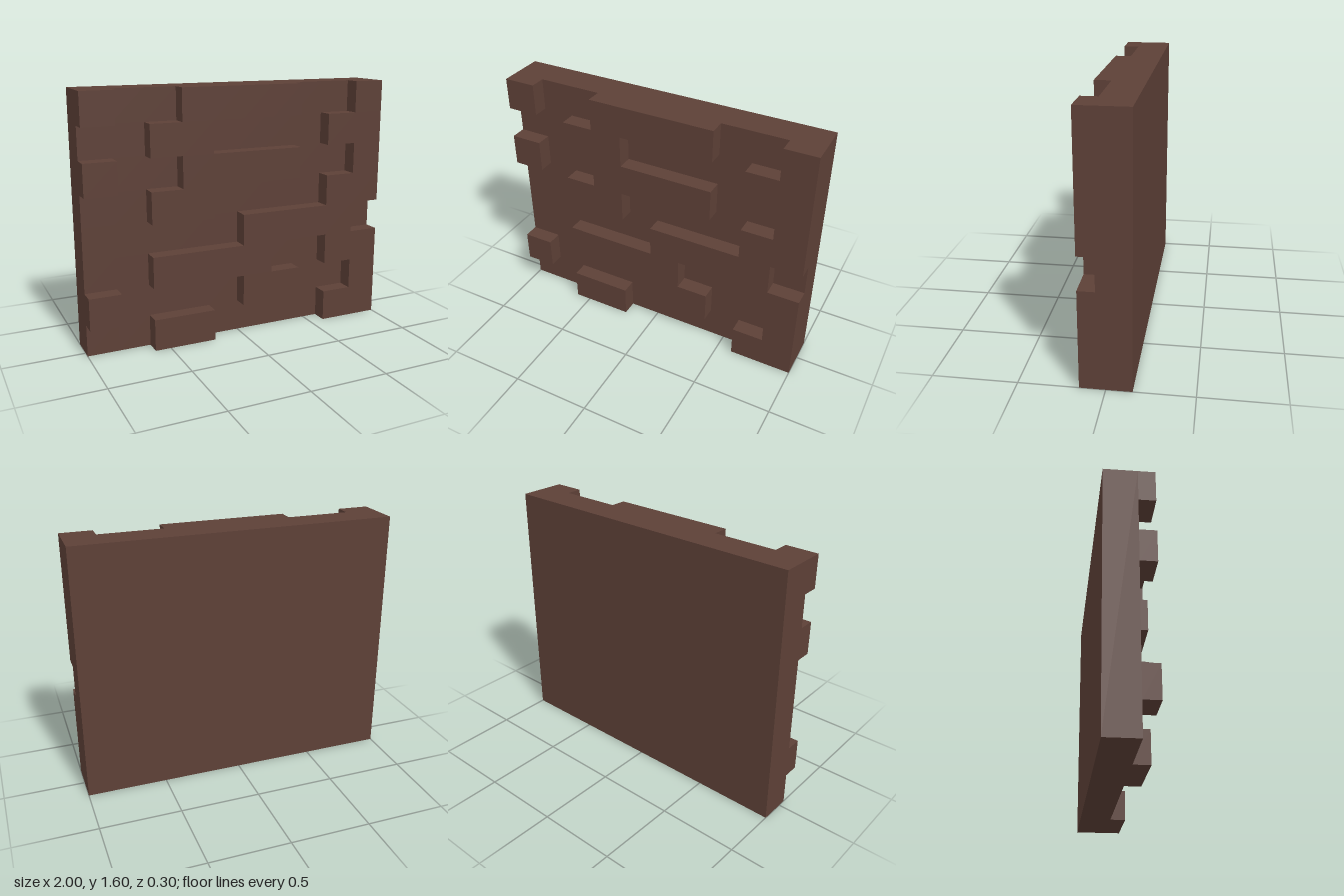
import * as THREE from 'three';
import { mergeGeometries } from 'three/addons/utils/BufferGeometryUtils.js';

const CELL = 0.2, COLS = 10, ROWS = 8;
const BACK = -0.15, FLOOR = 0.05, FRONT = 0.15;

// Relief pattern, top row first: # is a raised cell
const PATTERN = [
  '#..####..#',
  '..##....##',
  '#..####..#',
  '..##....##',
  '.....####.',
  '..####..##',
  '#....##..#',
  '..##....##',
];
const raised = (c, r) => PATTERN[r]?.[c] === '#';

// Flat panel facing +z
function panel(w, h, x, y, z) {
  return new THREE.PlaneGeometry(w, h).translate(x, y, z);
}

// Wall between z0 and z1, facing sideways at the given angle around z
function wall(length, z0, z1, angle, x, y) {
  return new THREE.PlaneGeometry(z1 - z0, length)
    .rotateY(Math.PI / 2).rotateZ(angle)
    .translate(x, y, (z0 + z1) / 2);
}

export function createModel() {
  const group = new THREE.Group();
  group.name = 'brickWallPanel';
  const brown = new THREE.MeshStandardMaterial({ color: 0x5d4037 });
  brown.name = 'darkBrown';

  const W = CELL * COLS, H = CELL * ROWS;
  const slab = [], bricks = [];

  // Slab: back face and four outer edges
  slab.push(new THREE.PlaneGeometry(W, H).rotateY(Math.PI).translate(0, H / 2, BACK));
  for (let i = 0; i < 4; i++) {
    const dx = [1, 0, -1, 0][i], dy = [0, 1, 0, -1][i];
    slab.push(wall(dx ? H : W, BACK, FLOOR, i * Math.PI / 2, dx * W / 2, H / 2 + dy * H / 2));
  }

  // Relief: recessed floors, brick fronts, and walls where the height steps
  for (let r = 0; r < ROWS; r++) {
    for (let c = 0; c < COLS; c++) {
      const x = (c + 0.5) * CELL - W / 2, y = H - (r + 0.5) * CELL;
      if (!raised(c, r)) {
        slab.push(panel(CELL, CELL, x, y, FLOOR));
        continue;
      }
      bricks.push(panel(CELL, CELL, x, y, FRONT));
      for (let i = 0; i < 4; i++) {
        const dx = [1, 0, -1, 0][i], dy = [0, 1, 0, -1][i];
        if (raised(c + dx, r - dy)) continue;
        bricks.push(wall(CELL, FLOOR, FRONT, i * Math.PI / 2, x + dx * CELL / 2, y + dy * CELL / 2));
      }
    }
  }

  for (const [name, parts] of [['backSlab', slab], ['raisedBricks', bricks]]) {
    const mesh = new THREE.Mesh(mergeGeometries(parts), brown);
    mesh.name = name;
    group.add(mesh);
  }
  return group;
}
